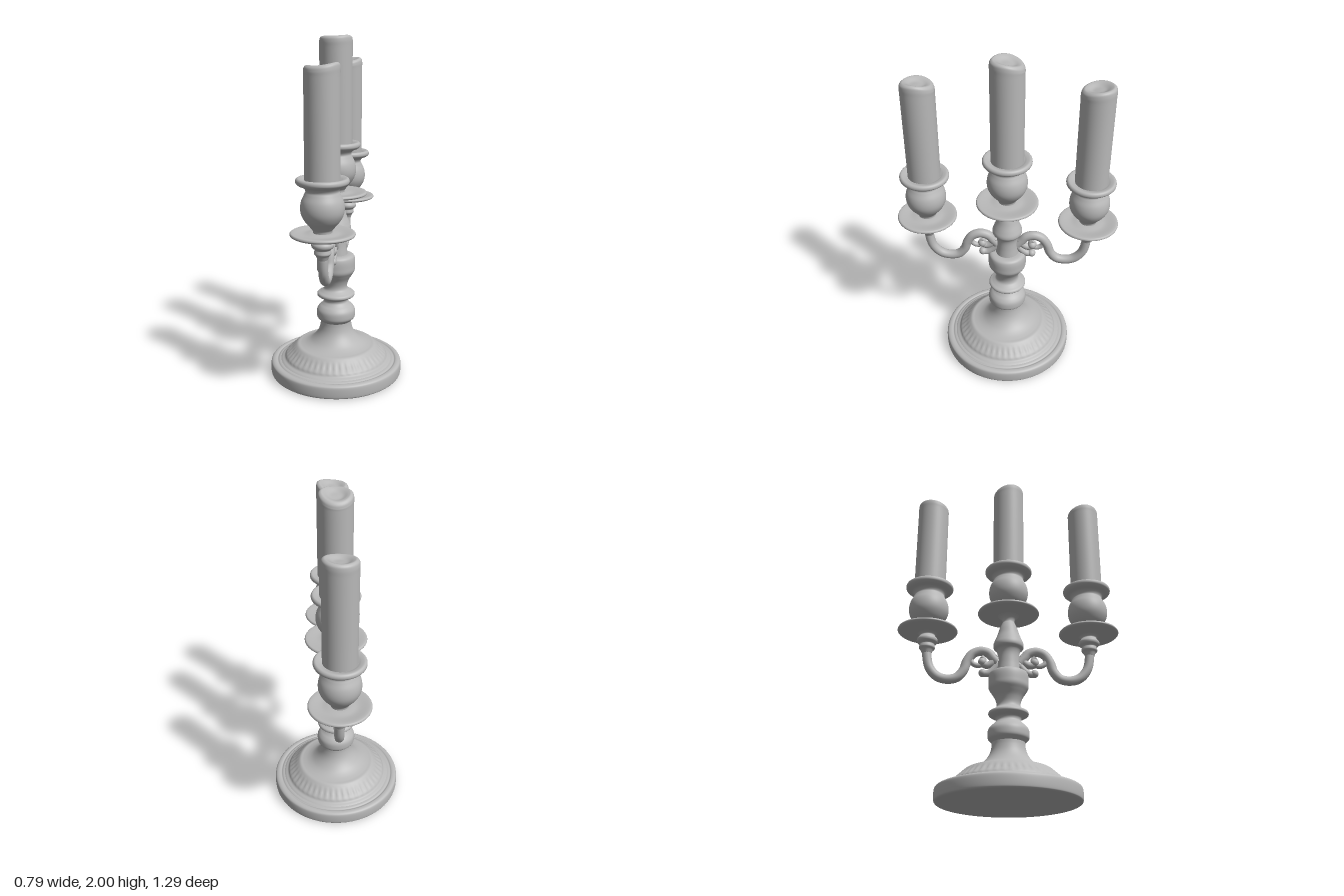
import * as THREE from 'three';

const metal = new THREE.MeshStandardMaterial({ color: 0xb8b8b8 });
metal.name = 'plain grey';

// Lathe a smooth spline through [radius, height] points, listed bottom to top
function turned(name, pts, segments = 48, rule = null) {
  const curve = new THREE.CatmullRomCurve3(pts.map(([r, y]) => new THREE.Vector3(r, y, 0)));
  const profile = curve.getPoints(pts.length * 5).map(p => new THREE.Vector2(Math.max(p.x, 0), p.y));
  const geo = new THREE.LatheGeometry(profile, segments);
  if (rule) {
    const pos = geo.attributes.position;
    const normals = geo.attributes.normal;
    const v = new THREE.Vector3();
    for (let i = 0; i < pos.count; i++) {
      v.fromBufferAttribute(pos, i);
      rule(v);
      pos.setXYZ(i, v.x, v.y, v.z);
    }
    geo.computeVertexNormals();
    // weld the shading across the lathe seam
    const rows = profile.length, last = segments * rows;
    for (let j = 0; j < rows; j++) {
      v.fromBufferAttribute(normals, j);
      v.add(new THREE.Vector3().fromBufferAttribute(normals, last + j)).normalize();
      normals.setXYZ(j, v.x, v.y, v.z);
      normals.setXYZ(last + j, v.x, v.y, v.z);
    }
  }
  const mesh = new THREE.Mesh(geo, metal);
  mesh.name = name;
  return mesh;
}

// Tube following [z, y] points in the x = 0 plane
function rod(name, pts, radius, steps) {
  const path = new THREE.CatmullRomCurve3(pts.map(([z, y]) => new THREE.Vector3(0, y, z)));
  const mesh = new THREE.Mesh(new THREE.TubeGeometry(path, steps, radius, 14), metal);
  mesh.name = name;
  return mesh;
}

function ball(name, z, y, r, sx = 1) {
  const mesh = new THREE.Mesh(new THREE.SphereGeometry(r, 20, 14), metal);
  mesh.name = name;
  mesh.position.set(0, y, z);
  mesh.scale.x = sx;
  return mesh;
}

// Drip pan, cup and candle; local y = 0 is the top of the pan.
// melt(u, v) gives the height change of the candle's uneven top.
function holder(name, panRadius, candleTop, melt) {
  const g = new THREE.Group();
  g.name = name;
  const R = panRadius;
  g.add(turned('dripPan', [
    [0, -0.025], [0.04, -0.025], [0.1, -0.022], [R - 0.012, -0.019], [R, -0.01],
    [R - 0.004, 0], [R - 0.015, 0.002], [0.1, -0.005], [0.055, 0], [0, 0],
  ], 64));
  g.add(turned('cup', [
    [0.05, -0.01], [0.052, 0.012], [0.062, 0.025], [0.07, 0.035], [0.095, 0.065], [0.112, 0.1],
    [0.116, 0.135], [0.11, 0.17], [0.094, 0.205], [0.088, 0.222], [0.1, 0.242], [0.125, 0.252],
    [0.139, 0.265], [0.139, 0.28], [0.13, 0.289], [0.11, 0.286], [0.09, 0.278], [0.05, 0.276],
  ], 56));
  const r = 0.093, t = candleTop;
  g.add(turned('candle', [
    [r, 0.25], [r, 0.45], [r, t - 0.06], [r, t - 0.025], [r - 0.004, t - 0.008],
    [r - 0.016, t], [r - 0.03, t - 0.004], [0.035, t - 0.018], [0, t - 0.02],
  ], 40, p => {
    if (p.y > t - 0.07) {
      const k = Math.min(1, (p.y - t + 0.07) / 0.05);
      p.y += k * melt(p.x / r, p.z / r);
    }
  }));
  return g;
}

// One curved arm reaching towards +z, with its scrolls and pan socket
function arm() {
  const g = new THREE.Group();
  g.name = 'arm';
  g.add(rod('armCurve', [
    [0.47, 0.9], [0.468, 0.84], [0.45, 0.765], [0.405, 0.713], [0.35, 0.697], [0.295, 0.708],
    [0.258, 0.75], [0.237, 0.81], [0.205, 0.855], [0.16, 0.872], [0.115, 0.86], [0.088, 0.83], [0.06, 0.8],
  ], 0.027, 90));
  g.add(rod('scroll', [
    [0.2, 0.858], [0.217, 0.825], [0.205, 0.795], [0.175, 0.783], [0.148, 0.795],
    [0.14, 0.818], [0.155, 0.835],
  ], 0.015, 40));
  g.add(rod('innerScroll', [
    [0.07, 0.84], [0.095, 0.8], [0.125, 0.785], [0.15, 0.795],
  ], 0.021, 24));
  g.add(rod('lowerLeaf', [
    [0.06, 0.79], [0.09, 0.755], [0.12, 0.735], [0.15, 0.735],
  ], 0.02, 24));
  g.add(ball('scrollBud', 0.15, 0.802, 0.026, 1.1));
  g.add(ball('leafBud', 0.148, 0.737, 0.023, 1.1));
  const socket = turned('panSocket', [
    [0.026, 0.85], [0.036, 0.872], [0.046, 0.885], [0.044, 0.9], [0.043, 0.907], [0.058, 0.922],
    [0.06, 0.937], [0.05, 0.952], [0.044, 0.962], [0.055, 0.974], [0.075, 0.98],
  ], 32);
  socket.position.z = 0.47;
  g.add(socket);
  return g;
}

export function createModel() {
  const model = new THREE.Group();
  model.name = 'candelabrum';

  // Foot: flat plinth rim
  model.add(turned('footRim', [
    [0, 0], [0.2, 0], [0.38, 0], [0.392, 0.006], [0.395, 0.015], [0.395, 0.062],
    [0.391, 0.075], [0.38, 0.082], [0.365, 0.083], [0.355, 0.079], [0.345, 0.084], [0.3, 0.088],
  ], 96));

  // Foot dome with a band of gentle gadroons
  model.add(turned('footDome', [
    [0.345, 0.078], [0.328, 0.09], [0.312, 0.098], [0.302, 0.113], [0.286, 0.128], [0.268, 0.145],
    [0.25, 0.163], [0.232, 0.177], [0.21, 0.181], [0.18, 0.19], [0.15, 0.207], [0.12, 0.238],
    [0.102, 0.27], [0.093, 0.305], [0.091, 0.335],
  ], 192, p => {
    const band = Math.max(0, 1 - Math.abs(p.y - 0.135) / 0.032);
    const d = 1 + 0.014 * band * Math.cos(48 * Math.atan2(p.z, p.x));
    p.x *= d;
    p.z *= d;
  }));

  // Stem: knops, waist and shoulder
  model.add(turned('stem', [
    [0.088, 0.325], [0.1, 0.337], [0.113, 0.352], [0.116, 0.375], [0.113, 0.4], [0.1, 0.42],
    [0.082, 0.436], [0.07, 0.452], [0.074, 0.468], [0.1, 0.48], [0.112, 0.49], [0.11, 0.503],
    [0.09, 0.515], [0.071, 0.53], [0.067, 0.55], [0.077, 0.585], [0.098, 0.62], [0.112, 0.645],
    [0.114, 0.675], [0.113, 0.715], [0.107, 0.733], [0.092, 0.742], [0.05, 0.744],
  ], 64));

  // Upper column that carries the arms and the middle pan
  model.add(turned('upperColumn', [
    [0.07, 0.73], [0.066, 0.76], [0.062, 0.8], [0.062, 0.85], [0.07, 0.875], [0.086, 0.892],
    [0.088, 0.91], [0.08, 0.935], [0.064, 0.975], [0.052, 1.015], [0.041, 1.042], [0.034, 1.056],
    [0.037, 1.072], [0.05, 1.088], [0.07, 1.1],
  ], 48));

  // Middle holder and the two arms with theirs
  const middle = holder('middleHolder', 0.18, 0.875, (u, v) => 0.004 * u + 0.015 * v - 0.016 * v * v);
  middle.position.y = 1.12;
  model.add(middle);

  const melts = {
    '1': (u, v) => 0.009 * u + 0.007 * v - 0.018 * v * v,
    '-1': (u, v) => 0.004 * u - 0.013 * v - 0.008 * v * v,
  };
  for (const s of [1, -1]) {
    const a = arm();
    a.rotation.y = s > 0 ? 0 : Math.PI;
    a.name = s > 0 ? 'frontArm' : 'backArm';
    model.add(a);
    const h = holder(s > 0 ? 'frontHolder' : 'backHolder', 0.173, 0.862, melts[s]);
    h.position.set(0, 1, s * 0.47);
    model.add(h);
  }
  return model;
}
